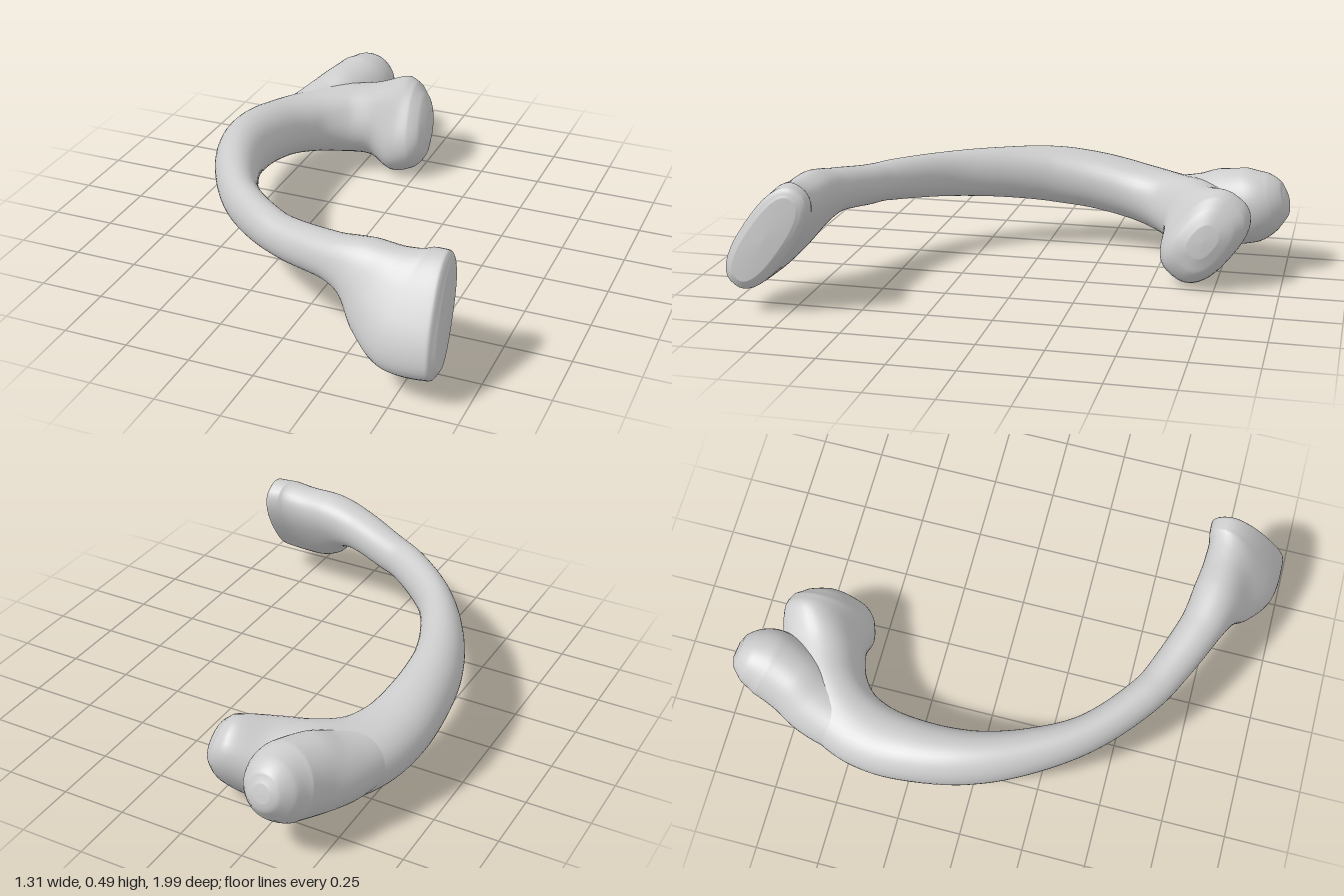
import * as THREE from 'three';

const material = new THREE.MeshStandardMaterial({ color: 0xcccccc });
const UP = new THREE.Vector3(0, 1, 0);

// Sweeps a rounded section along stations of
// [x, y, z, half thickness, half height, lean in degrees (top outwards)].
// The more a section leans, the squarer it is; both ends close to a point.
function sweep(name, stations, steps, sides = 40) {
  const path = new THREE.CatmullRomCurve3(stations.map(s => new THREE.Vector3(s[0], s[1], s[2])));
  const size = new THREE.CatmullRomCurve3(stations.map(s => new THREE.Vector3(s[3], s[4], s[5] / 100)));
  const positions = [];
  const indices = [];
  const rounded = (v, p) => Math.sign(v) * Math.abs(v) ** p;

  for (let i = 0; i <= steps; i++) {
    const t = i / steps;
    const center = path.getPoint(t);
    const half = size.getPoint(t);
    const lean = THREE.MathUtils.degToRad(half.z * 100);
    const power = 1 - 0.3 * Math.abs(lean);
    const close = i === 0 || i === steps ? 0.001 : 1;

    // Section frame: "out" is horizontal, "tall" is across it
    const tangent = path.getPoint(Math.min(t + 0.03, 1))
      .sub(path.getPoint(Math.max(t - 0.03, 0))).normalize();
    const out = UP.clone().cross(tangent).normalize();
    const tall = tangent.clone().cross(out);
    out.applyAxisAngle(tangent, -lean);
    tall.applyAxisAngle(tangent, -lean);

    for (let j = 0; j < sides; j++) {
      const angle = (j / sides) * Math.PI * 2;
      const p = center.clone()
        .addScaledVector(out, close * half.x * rounded(Math.cos(angle), power))
        .addScaledVector(tall, close * half.y * rounded(Math.sin(angle), power));
      positions.push(p.x, p.y, p.z);
      if (i < steps) {
        const a = i * sides + j;
        const b = i * sides + (j + 1) % sides;
        indices.push(a, b, a + sides, b, b + sides, a + sides);
      }
    }
  }
  const geometry = new THREE.BufferGeometry();
  geometry.setAttribute('position', new THREE.Float32BufferAttribute(positions, 3));
  geometry.setIndex(indices);
  geometry.computeVertexNormals();
  const mesh = new THREE.Mesh(geometry, material);
  mesh.name = name;
  return mesh;
}

export function createModel() {
  const group = new THREE.Group();
  group.name = 'ribBone';

  // Curved shaft, from the flared front end round to the rear knob
  group.add(sweep('shaft', [
    [0.642, 0.292, 0.822, 0.06, 0.18, -35],
    [0.615, 0.29, 0.822, 0.098, 0.222, -35],
    [0.51, 0.29, 0.82, 0.1, 0.225, -34],
    [0.4, 0.32, 0.785, 0.095, 0.18, -32],
    [0.3, 0.358, 0.75, 0.092, 0.125, -26],
    [0.18, 0.363, 0.712, 0.082, 0.087, -12],
    [0, 0.342, 0.637, 0.074, 0.08, -5],
    [-0.11, 0.335, 0.58, 0.07, 0.082, 0],
    [-0.315, 0.318, 0.4, 0.07, 0.093, 0],
    [-0.44, 0.306, 0.2, 0.084, 0.105, 0],
    [-0.515, 0.292, 0, 0.1, 0.117, 0],
    [-0.538, 0.268, -0.2, 0.117, 0.118, 5],
    [-0.52, 0.232, -0.39, 0.132, 0.118, 10],
    [-0.46, 0.208, -0.53, 0.142, 0.128, 20],
    [-0.35, 0.2, -0.635, 0.15, 0.145, 28],
    [-0.22, 0.198, -0.685, 0.15, 0.155, 35],
    [-0.1, 0.19, -0.7, 0.13, 0.205, 38],
    [-0.035, 0.194, -0.702, 0.118, 0.182, 38],
    [0.005, 0.2, -0.704, 0.09, 0.13, 38],
    [0.028, 0.203, -0.705, 0.04, 0.06, 38],
  ], 180));

  // Second knob continuing backwards out of the bend
  group.add(sweep('rearKnob', [
    [-0.53, 0.245, -0.28, 0.06, 0.06, 0],
    [-0.495, 0.218, -0.48, 0.115, 0.1, 0],
    [-0.435, 0.215, -0.64, 0.135, 0.135, 0],
    [-0.378, 0.235, -0.75, 0.135, 0.155, 0],
    [-0.34, 0.26, -0.86, 0.135, 0.15, 0],
    [-0.335, 0.282, -0.94, 0.108, 0.115, 0],
    [-0.333, 0.293, -0.985, 0.065, 0.07, 0],
    [-0.332, 0.297, -0.998, 0.03, 0.03, 0],
  ], 70));

  return group;
}
